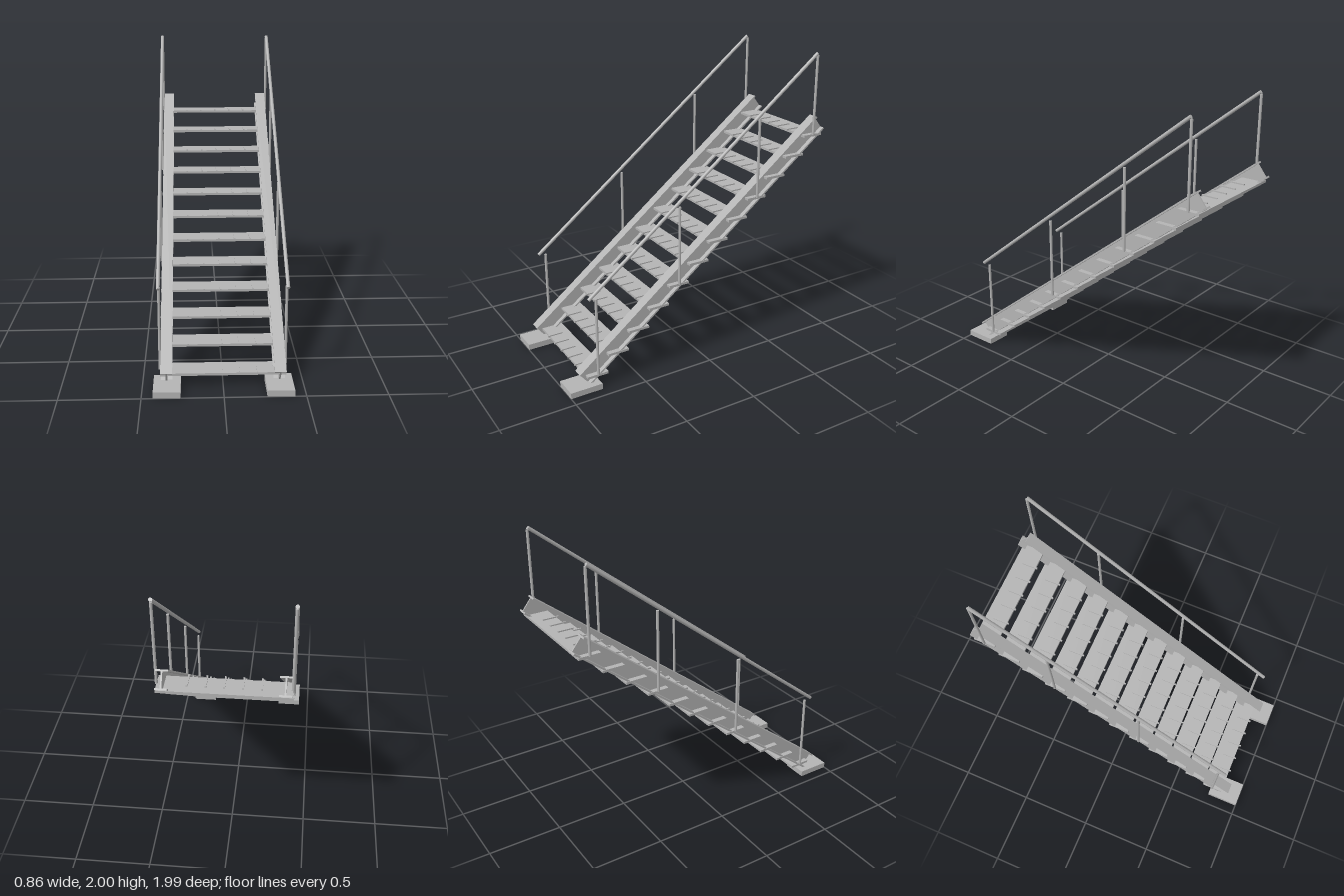
import * as THREE from 'three';

const STEPS = 12;
const treadZ = i => 0.787 - i * 0.1524;
const treadY = i => 0.082 + i * 0.1224;

export function createModel() {
  const model = new THREE.Group();
  model.name = 'staircase';
  const steel = new THREE.MeshStandardMaterial({ color: 0xb3b3b3 });
  steel.name = 'grey steel';

  const add = (parent, name, geometry, x, y, z) => {
    const mesh = new THREE.Mesh(geometry, steel);
    mesh.name = name;
    mesh.position.set(x, y, z);
    parent.add(mesh);
    return mesh;
  };

  // I-beam section for the stringers
  const w = 0.036, h = 0.059, flange = 0.011, web = 0.005;
  const section = new THREE.Shape([
    [-w, -h], [w, -h], [w, -h + flange], [web, -h + flange],
    [web, h - flange], [w, h - flange], [w, h], [-w, h],
    [-w, h - flange], [-web, h - flange], [-web, -h + flange], [-w, -h + flange],
  ].map(p => new THREE.Vector2(...p)));
  const beamGeo = new THREE.ExtrudeGeometry(section, { depth: 2.327, bevelEnabled: false });

  // Treads with raised grip ribs
  const treadGeo = new THREE.BoxGeometry(0.78, 0.016, 0.147);
  const ribGeo = new THREE.BoxGeometry(0.01, 0.012, 0.106);
  for (let i = 0; i < STEPS; i++) {
    const step = new THREE.Group();
    step.name = 'step' + (i + 1);
    step.position.set(0, treadY(i), treadZ(i));
    model.add(step);
    add(step, 'tread', treadGeo, 0, 0, 0);
    for (let k = -2; k <= 2; k++) add(step, 'gripRib', ribGeo, k * 0.107, 0.01, 0.034);
  }

  // Handrail axis
  const railLow = new THREE.Vector3(0, 0.636, 0.838);
  const railHigh = new THREE.Vector3(0, 1.99, -0.885);
  const railDir = railHigh.clone().sub(railLow);
  const railGeo = new THREE.CylinderGeometry(0.0115, 0.0115, railDir.length(), 16);
  const postHeight = 0.545;
  const postGeo = new THREE.CylinderGeometry(0.009, 0.009, postHeight, 16);
  const footGeo = new THREE.BoxGeometry(0.168, 0.04, 0.222);

  for (const [side, s] of [['left', 1], ['right', -1]]) {
    const beam = add(model, side + 'Stringer', beamGeo, s * 0.35, 1.508, -0.953);
    beam.rotation.x = THREE.MathUtils.degToRad(38.1);

    add(model, side + 'FootBlock', footGeo, s * 0.346, 0.02, 0.889);

    const mid = railLow.clone().add(railHigh).multiplyScalar(0.5);
    const rail = add(model, side + 'Handrail', railGeo, s * 0.393, mid.y, mid.z);
    rail.quaternion.setFromUnitVectors(new THREE.Vector3(0, 1, 0), railDir.clone().normalize());

    // Posts stand on the outer tread ends
    for (const i of [0, 4, 8, 11]) {
      add(model, side + 'RailPost', postGeo, s * 0.391, treadY(i) + 0.004 + postHeight / 2, treadZ(i));
    }
  }
  return model;
}
